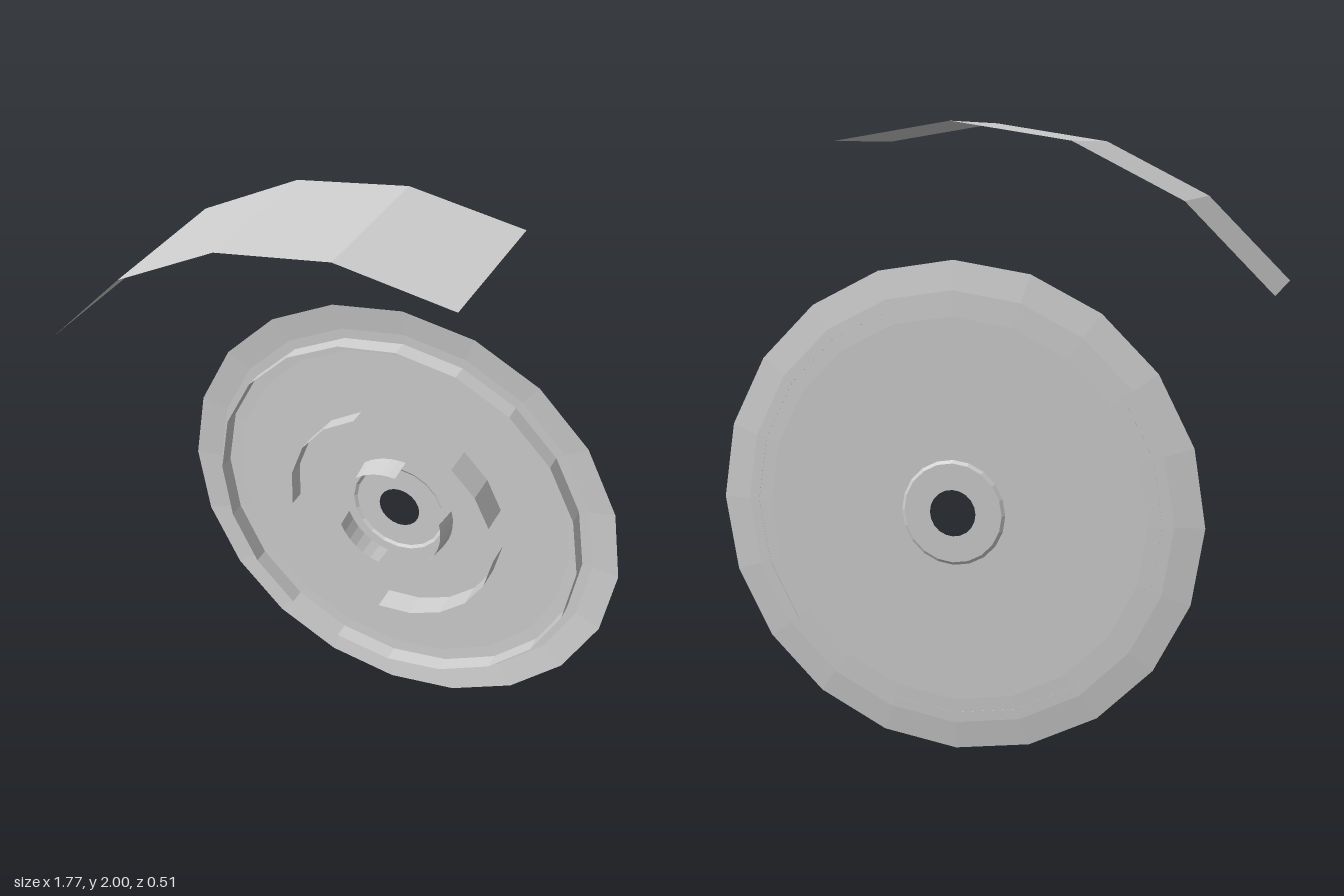
import * as THREE from 'three';

const CX = 0.092, CY = 0.793; // wheel axle
const rad = THREE.MathUtils.degToRad;

export function createModel() {
  const group = new THREE.Group();
  const grey = new THREE.MeshStandardMaterial({ color: 0xd0d0d0, side: THREE.DoubleSide, flatShading: true });
  grey.name = 'light grey';

  const add = (geo, name) => {
    const mesh = new THREE.Mesh(geo, grey);
    mesh.name = name;
    mesh.position.set(CX, CY, 0);
    group.add(mesh);
  };

  // Thin curved sheet around the axle, from angle a to b in degrees (0 = +x, 90 = up)
  const sheet = (name, r, a, b, z0, z1, segments, rBack = r) => {
    const geo = new THREE.CylinderGeometry(r, rBack, z1 - z0, segments, 1, true, rad(a + 90), rad(b - a));
    geo.rotateX(Math.PI / 2).translate(0, 0, (z0 + z1) / 2);
    add(geo, name);
  };

  // Shallow dished disc with a centre hole and a stepped hub
  const profile = [[0.075, -0.257], [0.16, -0.257], [0.17, -0.25], [0.62, -0.25], [0.70, -0.247], [0.792, -0.235]];
  const disc = new THREE.LatheGeometry(profile.map(([r, z]) => new THREE.Vector2(r, z)), 20);
  disc.rotateX(Math.PI / 2);
  add(disc, 'wheelDisc');

  // Open drum wall standing on the disc
  sheet('drumWall', 0.665, 0, 360, -0.249, -0.19, 20);

  // Middle arc walls: start angle, end angle, front z, segments
  [[18, 54, -0.14, 2], [112, 190, -0.19, 4], [266, 356, -0.16, 5]].forEach(([a, b, z, n]) =>
    sheet('middleArcWall', 0.388, a, b, -0.25, z, n));

  // Inner arc walls around the hub, slightly flared
  [[84, 130], [202, 260], [322, 376]].forEach(([a, b]) =>
    sheet('hubArcWall', 0.193, a, b, -0.25, -0.165, 6, 0.203));

  // Arched fender above the wheel
  sheet('fender', 1.207, 72, 144, -0.2575, 0.2575, 4);

  return group;
}
